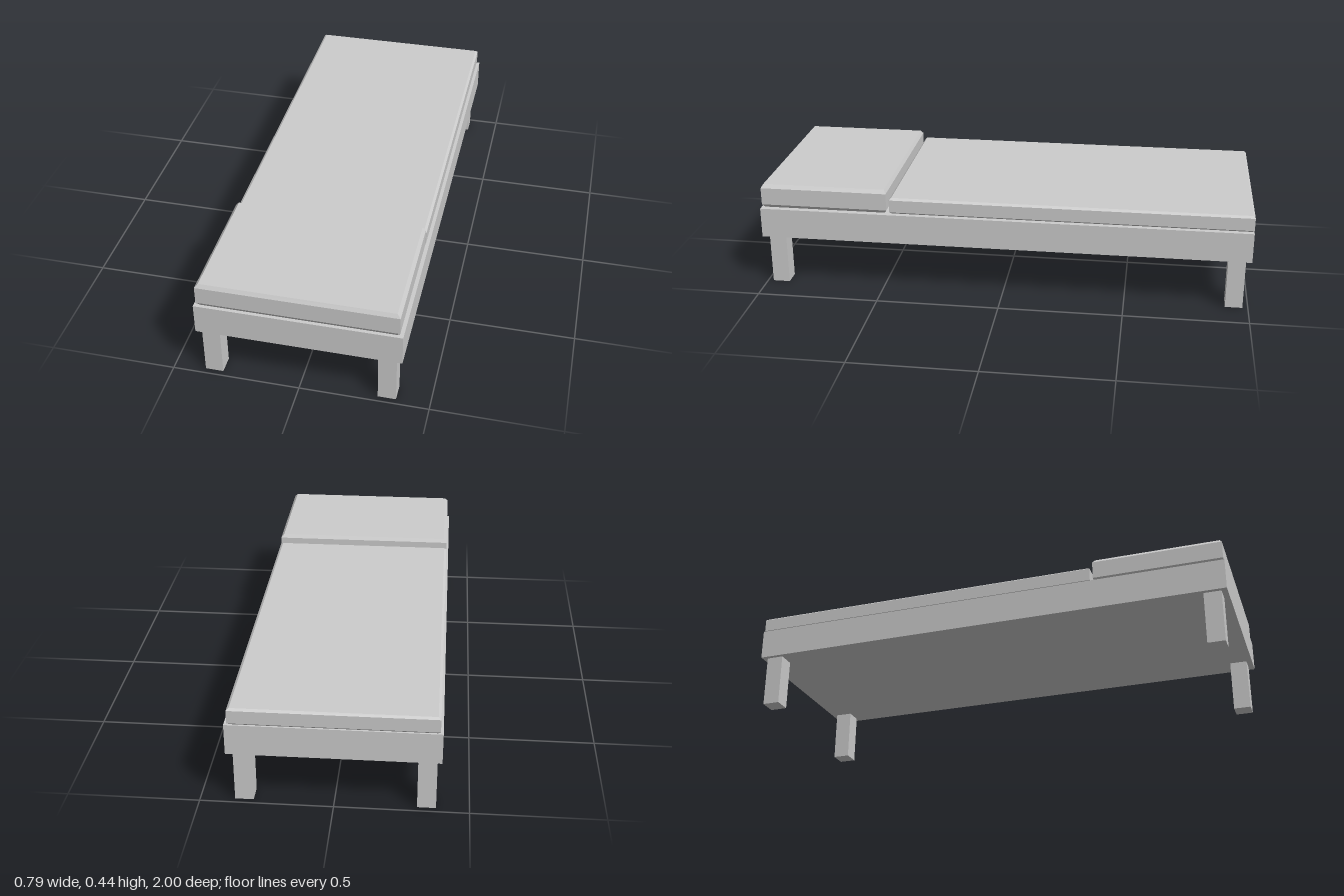
import * as THREE from 'three';

const material = new THREE.MeshStandardMaterial({ color: 0xcccccc, flatShading: true });

// Mesh filling the span between two corners
function block(name, geometry, min, max) {
  const mesh = new THREE.Mesh(geometry, material);
  mesh.name = name;
  mesh.position.set(...min.map((v, i) => (v + max[i]) / 2));
  return mesh;
}

function box(name, min, max) {
  const size = min.map((v, i) => max[i] - v);
  return block(name, new THREE.BoxGeometry(...size), min, max);
}

// Cushion: a box with bevelled top and bottom rims
function cushion(name, min, max, bevel) {
  const [w, h, d] = min.map((v, i) => max[i] - v);
  const geometry = new THREE.BoxGeometry(w, h, d, 1, 3, 1);
  const p = geometry.attributes.position;
  for (let i = 0; i < p.count; i++) {
    const x = p.getX(i), y = p.getY(i), z = p.getZ(i);
    if (Math.abs(y) > h * 0.4) {
      p.setX(i, x - Math.sign(x) * bevel.x);
      p.setZ(i, z - Math.sign(z) * bevel.z);
    } else {
      p.setY(i, Math.sign(y) * (h / 2 - bevel.y));
    }
  }
  const flat = geometry.toNonIndexed();
  flat.computeVertexNormals();
  return block(name, flat, min, max);
}

export function createModel() {
  const bed = new THREE.Group();
  bed.name = 'daybed';

  // Base
  bed.add(box('frame', [-0.394, 0.213, -1], [0.394, 0.337, 1]));

  // Mattress and raised headrest
  bed.add(cushion('mattress', [-0.384, 0.337, -1], [0.382, 0.405, 0.461], { x: 0.01, y: 0.008, z: 0.008 }));
  bed.add(cushion('headrest', [-0.384, 0.337, 0.473], [0.382, 0.438, 0.995], { x: 0.013, y: 0.015, z: 0.009 }));

  // Four legs
  for (const [side, x] of [['Right', -0.377], ['Left', 0.3]]) {
    for (const [end, z] of [['front', 0.907], ['back', -0.978]]) {
      bed.add(box(`${end}${side}Leg`, [x, 0, z], [x + 0.07, 0.213, z + 0.07]));
    }
  }
  return bed;
}
